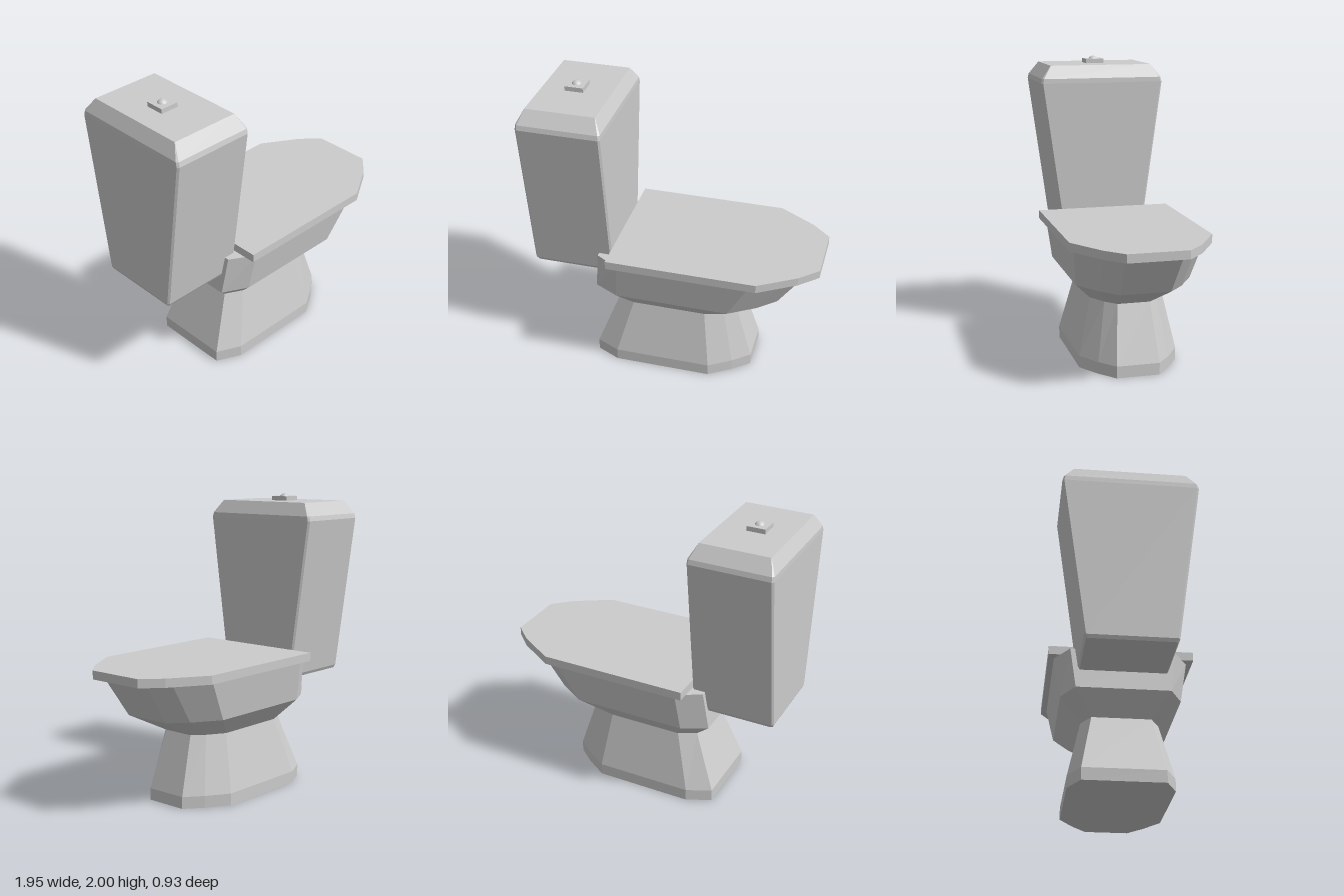
import * as THREE from 'three';

const flat = new THREE.MeshStandardMaterial({ color: 0xcccccc, flatShading: true });
const smooth = new THREE.MeshStandardMaterial({ color: 0xcccccc });

// Mirror a half outline of [x, z] points (listed back to front on +z) into a closed ring at height y.
function ring(y, half) {
  const other = half.map(([x, z]) => [x, -z]).reverse();
  return [...half, ...other].map(([x, z]) => new THREE.Vector3(x, y, z));
}

// Skin a stack of rings from bottom to top and cap both ends.
function loft(name, rings) {
  const pos = [];
  const tri = (...pts) => pts.forEach((p) => pos.push(p.x, p.y, p.z));
  const n = rings[0].length;
  for (let k = 0; k < rings.length - 1; k++) {
    const lo = rings[k], up = rings[k + 1];
    for (let i = 0; i < n; i++) {
      const j = (i + 1) % n;
      tri(lo[i], lo[j], up[j]);
      tri(lo[i], up[j], up[i]);
    }
  }
  const bottom = rings[0], top = rings[rings.length - 1];
  for (let i = 1; i < n - 1; i++) {
    tri(bottom[0], bottom[i + 1], bottom[i]);
    tri(top[0], top[i], top[i + 1]);
  }
  const geo = new THREE.BufferGeometry();
  geo.setAttribute('position', new THREE.Float32BufferAttribute(pos, 3));
  geo.computeVertexNormals();
  const mesh = new THREE.Mesh(geo, flat);
  mesh.name = name;
  return mesh;
}

// Rectangle with small cut corners, used for the tank.
function tankRing(y, hx, hz, cut = 0.012) {
  const cx = -0.697;
  return ring(y, [
    [cx - hx, hz - cut], [cx - hx + cut, hz],
    [cx + hx - cut, hz], [cx + hx, hz - cut],
  ]);
}

export function createModel() {
  const model = new THREE.Group();
  model.name = 'toilet';

  // Pedestal: upright plinth, then tapering to the neck
  const foot = [[-0.555, 0.26], [-0.395, 0.335], [0.265, 0.335], [0.415, 0.24], [0.53, 0.145]];
  const neck = [[-0.405, 0.19], [-0.29, 0.25], [0.215, 0.25], [0.335, 0.18], [0.41, 0.11]];
  model.add(loft('pedestal', [ring(0, foot), ring(0.08, foot), ring(0.465, neck)]));

  // Bowl flaring out from the neck to the rim
  const belly = [[-0.535, 0.3], [-0.37, 0.385], [0.4, 0.385], [0.585, 0.27], [0.7, 0.165]];
  const rim = [[-0.505, 0.335], [-0.345, 0.43], [0.55, 0.43], [0.77, 0.295], [0.89, 0.185]];
  model.add(loft('bowl', [ring(0.465, neck), ring(0.61, belly), ring(0.885, rim)]));

  // Closed lid
  const lid = [[-0.41, 0.467], [0.6, 0.467], [0.85, 0.315], [0.973, 0.2]];
  model.add(loft('lid', [ring(0.885, lid), ring(0.942, lid)]));

  // Tank widening upward, with a bevelled top
  model.add(loft('tank', [
    tankRing(0.733, 0.27, 0.275),
    tankRing(0.755, 0.28, 0.287),
    tankRing(1.83, 0.28, 0.435),
    tankRing(1.862, 0.278, 0.427),
    tankRing(1.95, 0.232, 0.36, 0.001),
  ]));

  // Flush button on its square plate
  const plate = new THREE.Mesh(new THREE.BoxGeometry(0.125, 0.035, 0.13), flat);
  plate.name = 'buttonPlate';
  plate.position.set(-0.708, 1.963, 0);
  const button = new THREE.Mesh(new THREE.SphereGeometry(0.036, 24, 16), smooth);
  button.name = 'flushButton';
  button.position.set(-0.708, 1.964, 0);
  model.add(plate, button);

  return model;
}
